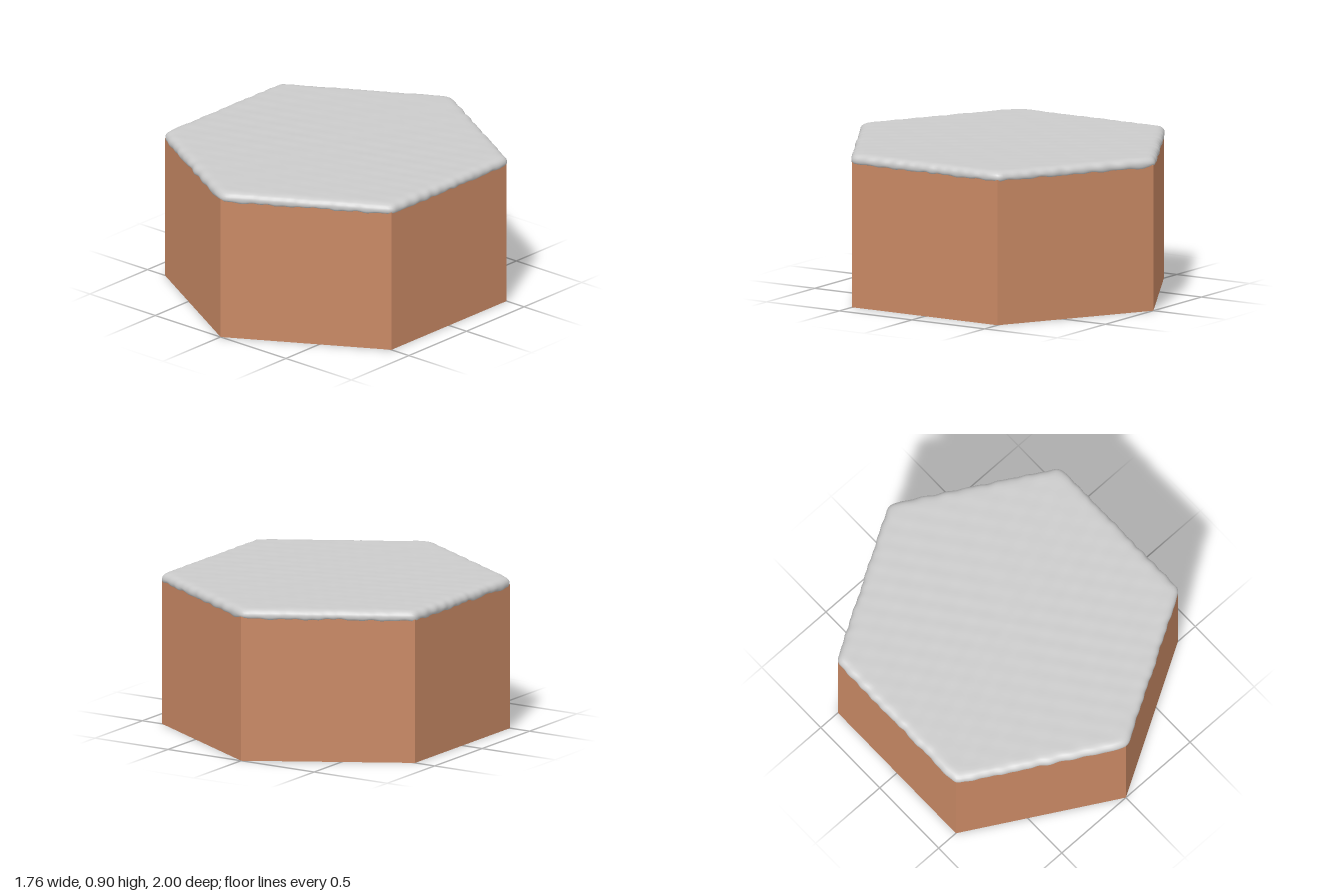
import * as THREE from 'three';

// Smooth, repeatable ripple built from a few sines
const ripple = (a, b) =>
  (Math.sin(a * 17 + b * 9) + Math.sin(a * 31 - b * 23 + 1.3) + Math.sin(b * 37 + a * 11 + 2.1)) / 3;

// Hexagon outline with slightly rounded corners, points on +z and -z
function hexRadius(theta, apothem) {
  const sharpness = 64;
  let sum = 0;
  for (let k = 0; k < 6; k++) {
    const c = Math.cos(theta - Math.PI / 6 - k * Math.PI / 3);
    if (c > 0) sum += c ** sharpness;
  }
  return apothem / sum ** (1 / sharpness);
}

// Uneven slab: one edge profile swept around the hexagon, then rings to the centre
function capGeometry() {
  const segments = 360;
  const rim = [ // inset, y, share of the lower-edge ripple
    [0.06, 0.838, 0], [0.018, 0.837, 1], [0.006, 0.84, 1], [0, 0.85, 0.5], [0, 0.862, 0],
    [0.004, 0.873, 0], [0.012, 0.882, 0], [0.024, 0.889, 0], [0.04, 0.893, 0], [0.06, 0.895, 0],
  ];
  const innerRings = 32;
  for (let k = 1; k <= innerRings; k++) rim.push([0.06 + 0.94 * k / innerRings, 0.895, 0]);

  const positions = [], index = [];
  rim.forEach(([inset, y, drip], j) => {
    for (let i = 0; i < segments; i++) {
      const theta = i / segments * Math.PI * 2;
      const s = Math.sin(theta), c = Math.cos(theta);
      const edge = hexRadius(theta, 0.874) + 0.005 * ripple(s * 2, c * 2);
      const r = Math.min(edge, 1) * (1 - inset);
      const x = r * s, z = r * c;
      const bump = j > 6 ? 0.0016 * ripple(x * 1.6, z * 1.6) : 0;
      positions.push(x, y + bump + drip * 0.007 * ripple(s * 1.7 + 4, c * 1.7), z);
    }
  });
  for (let j = 0; j < rim.length - 1; j++) {
    for (let i = 0; i < segments; i++) {
      const n = (i + 1) % segments;
      const a = j * segments + i, b = j * segments + n;
      const d = a + segments, e = b + segments;
      index.push(a, b, d);
      if (j < rim.length - 2) index.push(b, e, d);
    }
  }
  const geometry = new THREE.BufferGeometry();
  geometry.setAttribute('position', new THREE.Float32BufferAttribute(positions, 3));
  geometry.setIndex(index);
  geometry.computeVertexNormals();
  return geometry;
}

export function createModel() {
  const model = new THREE.Group();
  model.name = 'hexTile';

  // Six-sided earth block
  const body = new THREE.Mesh(
    new THREE.CylinderGeometry(1, 1, 0.85, 6),
    new THREE.MeshStandardMaterial({ color: 0xc88864, flatShading: true })
  );
  body.name = 'earthBlock';
  body.position.y = 0.425;
  model.add(body);

  // Soft layer on top, overhanging the sides a little
  const cap = new THREE.Mesh(capGeometry(), new THREE.MeshStandardMaterial({ color: 0xcccccc }));
  cap.name = 'topLayer';
  model.add(cap);

  return model;
}
